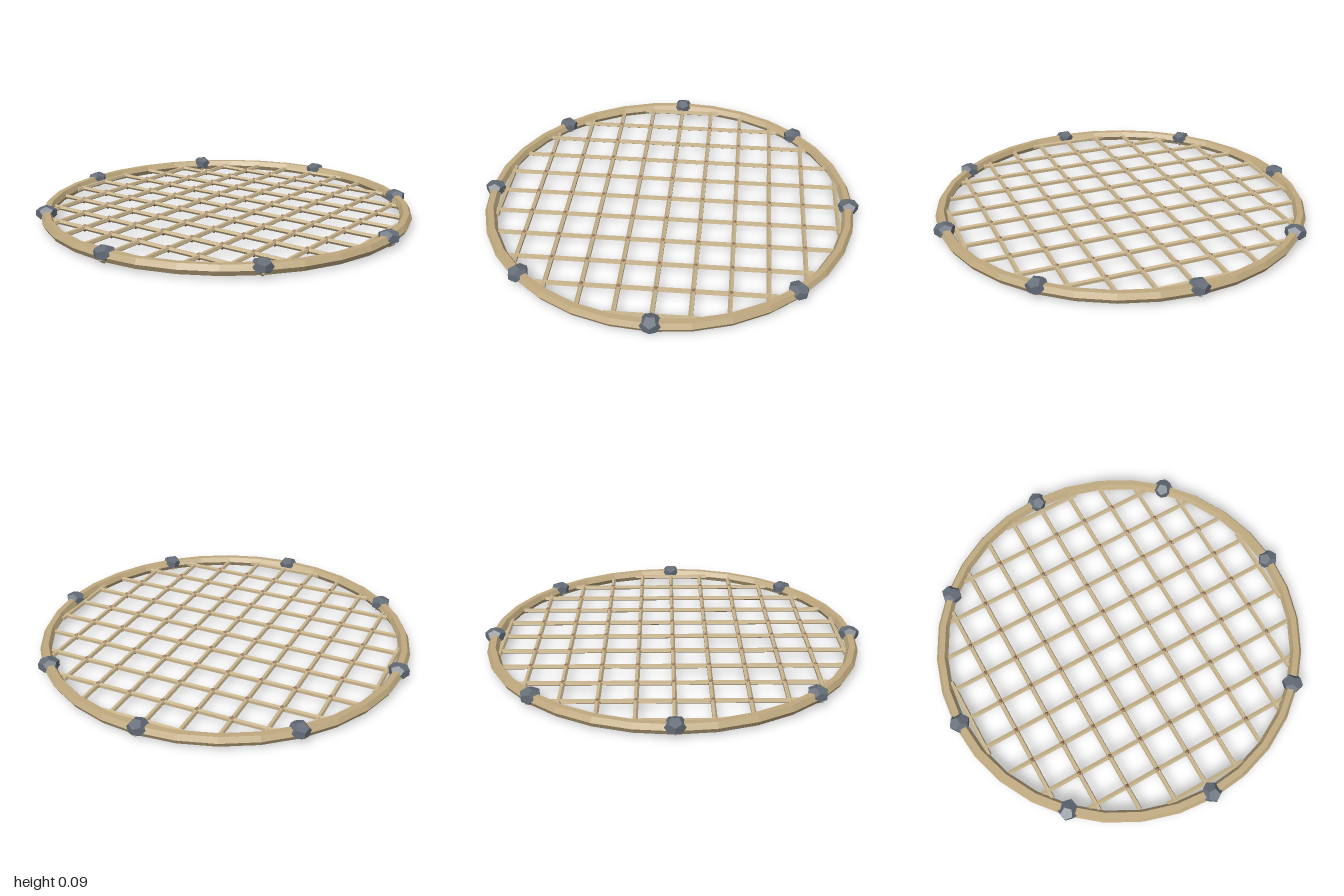
import * as THREE from 'three';

const RIM_R = 0.946, RIM_Y = 0.04, NET_R = 0.915, STEP = 0.1775;

const mat = (name, color) => {
  const m = new THREE.MeshStandardMaterial({ color, flatShading: true });
  m.name = name;
  return m;
};

export function createModel() {
  const root = new THREE.Group();
  root.name = 'weightedNet';
  const rimMat = mat('rim rope', 0xbfa97f);
  const cordMat = mat('net cord', 0xc9b58d);
  const knotMat = mat('knot brown', 0x96745a);
  const stoneMat = mat('slate stone', 0x646c77);

  const add = (parent, name, geo, material, x, y, z) => {
    const m = new THREE.Mesh(geo, material);
    m.name = name;
    m.position.set(x, y, z);
    parent.add(m);
    return m;
  };

  // Outer rope ring
  const rim = add(root, 'rim', new THREE.TorusGeometry(RIM_R, 0.03, 6, 32), rimMat, 0, RIM_Y, 0);
  rim.rotation.x = Math.PI / 2;

  // Crossing cords, each trimmed to the circle
  const net = new THREE.Group();
  net.name = 'net';
  root.add(net);
  for (let i = -5; i <= 5; i++) {
    const d = i * STEP;
    const length = 2 * Math.sqrt(NET_R * NET_R - d * d);
    const geo = new THREE.CylinderGeometry(0.0125, 0.0125, length, 5);
    add(net, 'cordAcross', geo, cordMat, 0, RIM_Y, d).rotation.z = Math.PI / 2;
    add(net, 'cordAlong', geo, cordMat, d, RIM_Y, 0).rotation.x = Math.PI / 2;
  }

  // Knots on the inner crossings
  const knotGeo = new THREE.OctahedronGeometry(0.027);
  knotGeo.scale(1, 0.75, 1);
  for (let i = -4; i <= 4; i++) {
    for (let j = -4; j <= 4; j++) {
      if (Math.hypot(i, j) * STEP < 0.85) add(net, 'knot', knotGeo, knotMat, i * STEP, RIM_Y, j * STEP);
    }
  }

  // Eight stone weights, each bound to the rim by a loop
  const stoneGeo = new THREE.DodecahedronGeometry(0.0575);
  stoneGeo.scale(0.92, 0.68, 1);
  const loopGeo = new THREE.TorusGeometry(0.032, 0.008, 4, 6);
  loopGeo.rotateZ(Math.PI / 2);
  loopGeo.rotateY(Math.PI / 2);
  for (let i = 0; i < 8; i++) {
    const weight = new THREE.Group();
    weight.name = 'weight';
    weight.rotation.y = i * Math.PI / 4;
    add(weight, 'stone', stoneGeo, stoneMat, 0, 0.053, RIM_R);
    add(weight, 'binding', loopGeo, cordMat, 0, RIM_Y, RIM_R);
    root.add(weight);
  }
  return root;
}
